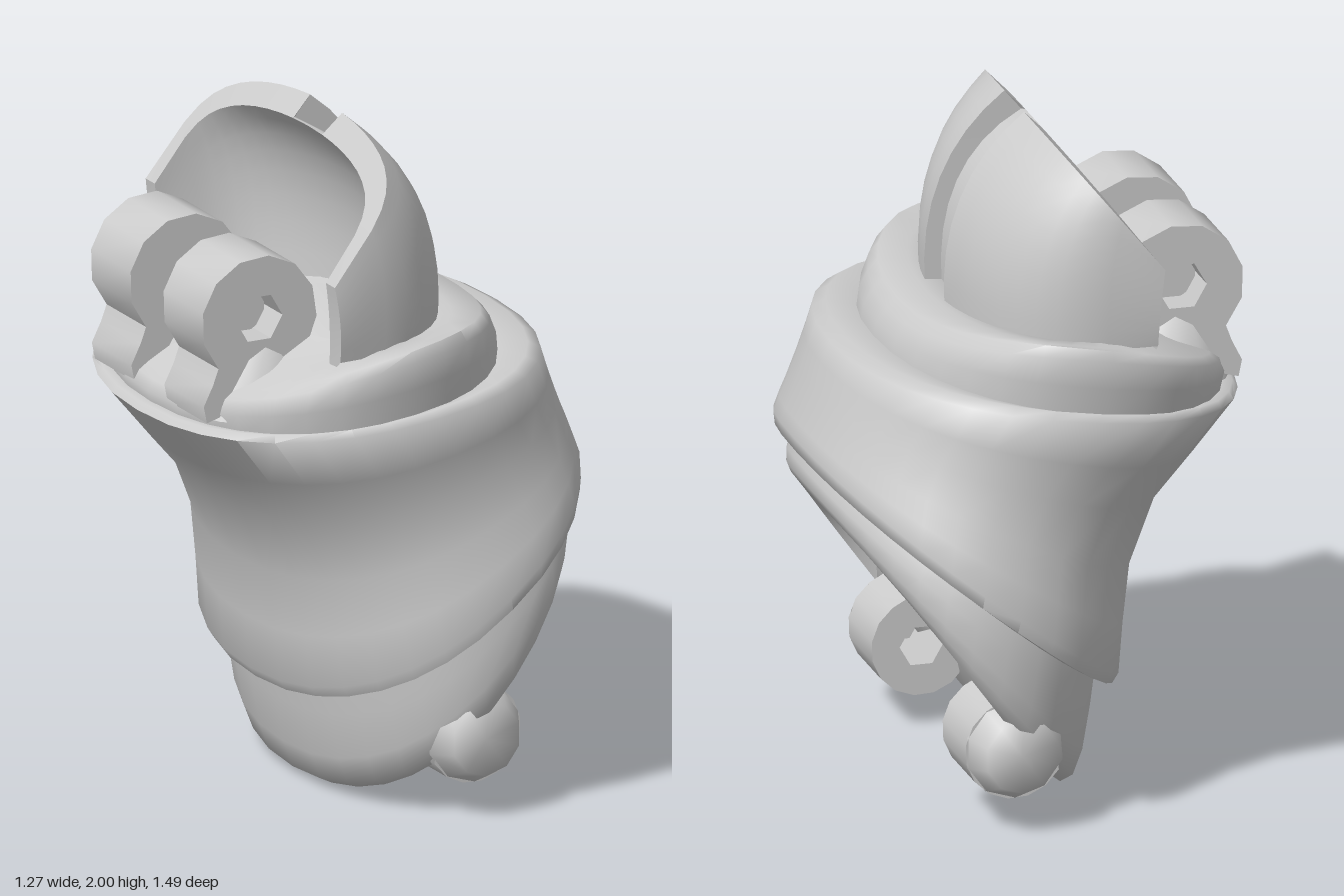
import * as THREE from 'three';
import { toCreasedNormals } from 'three/addons/utils/BufferGeometryUtils.js';

const material = new THREE.MeshStandardMaterial({ color: 0xcccccc, side: THREE.DoubleSide });

function mesh(name, geometry, crease = 1.25) {
  const m = new THREE.Mesh(toCreasedNormals(geometry, crease), material);
  m.name = name;
  return m;
}

// Surface through rows of points, skipping collapsed triangles
function skin(rows) {
  const pos = [];
  const tri = new THREE.Triangle();
  const add = (a, b, c) => {
    if (tri.set(a, b, c).getArea() > 1e-7) for (const p of [a, b, c]) pos.push(p.x, p.y, p.z);
  };
  for (let j = 0; j < rows.length - 1; j++) {
    for (let i = 0; i < rows[j].length - 1; i++) {
      const a = rows[j][i], b = rows[j][i + 1], c = rows[j + 1][i + 1], d = rows[j + 1][i];
      add(a, b, c);
      add(a, c, d);
    }
  }
  const g = new THREE.BufferGeometry();
  g.setAttribute('position', new THREE.Float32BufferAttribute(pos, 3));
  return g;
}

// Tilted oval ring: low-x end, high-x end, half depth, lift of the sides
function ring([xl, yl, xr, yr, depth, lift = 0]) {
  const n = 32, points = [];
  for (let i = 0; i <= n; i++) {
    const t = ((i % n) / n) * Math.PI * 2;
    const c = Math.sign(Math.cos(t)) * Math.abs(Math.cos(t)) ** 0.9;
    const s = Math.sign(Math.sin(t)) * Math.abs(Math.sin(t)) ** 0.9;
    points.push(new THREE.Vector3(
      (xl + xr) / 2 + c * (xr - xl) / 2,
      (yl + yr) / 2 + c * (yr - yl) / 2 + lift * s * s,
      depth * s));
  }
  return points;
}
const loft = (rings) => skin(rings.map(ring));

// Split shell over the socket, with a shallow groove down its middle
function shellGeometry() {
  const half = [];
  for (let i = 0; i <= 10; i++) half.push([-Math.PI / 2 + (i / 10) * (Math.PI / 2 - 0.17), 0]);
  const list = [...half, [-0.169, 0.05], [0, 0.05], [0.169, 0.05],
    ...half.map(([a]) => [-a, 0]).reverse()];
  const path = ([a, groove]) => {
    const cos = Math.max(0, Math.cos(a)), s = Math.sin(a);
    const c = cos ** 0.62, k = cos ** 0.42;
    const curve = (base, ctrl, rim) => new THREE.QuadraticBezierCurve3(
      new THREE.Vector3(...base), new THREE.Vector3(...ctrl), new THREE.Vector3(...rim)).getPoints(8);
    const y = 1.53 + 0.27 * k;
    const outer = curve([-0.28 + 0.5 * c - groove, 1.42, 0.57 * s],
      [-0.28 + 0.53 * c - groove, y, 0.59 * s],
      [-0.3 + 0.28 * k - groove, 1.65 + 0.35 * k - groove * 1.2, 0.575 * s]);
    const inner = curve([-0.28 + 0.38 * c, 1.36, 0.5 * s],
      [-0.28 + 0.42 * c, y - 0.02, 0.52 * s],
      [-0.3 + 0.22 * k, 1.65 + 0.29 * k, 0.52 * s]);
    return [...inner, ...outer.reverse()];
  };
  const columns = list.map(path);
  // Close both free edges
  const close = (col) => col.map((p, i) => p.clone().lerp(col[col.length - 1 - i], 0.5));
  columns.unshift(close(columns[0]));
  columns.push(close(columns[columns.length - 1]));
  return skin(columns[0].map((_, j) => columns.map((col) => col[j])));
}

// Hinge lug: arc plus foot points, extruded along z, with a pin hole
function lugGeometry(cx, cy, r, from, to, foot, holeR, z0, z1) {
  const pts = [], n = 9;
  for (let i = 0; i <= n; i++) {
    const a = THREE.MathUtils.degToRad(from + ((to - from) * i) / n);
    pts.push(new THREE.Vector2(cx + r * Math.cos(a), cy + r * Math.sin(a)));
  }
  for (const f of foot) pts.push(new THREE.Vector2(...f));
  const shape = new THREE.Shape(pts);
  const hole = [];
  for (let i = 0; i < 6; i++) {
    const a = -i * Math.PI / 3;
    hole.push(new THREE.Vector2(cx + holeR * Math.cos(a), cy + holeR * Math.sin(a)));
  }
  shape.holes.push(new THREE.Path(hole));
  return new THREE.ExtrudeGeometry(shape, { depth: z1 - z0, bevelEnabled: false }).translate(0, 0, z0);
}

export function createModel() {
  const model = new THREE.Group();
  model.name = 'jointSegment';

  // Collar with the upper socket, dropping toward the lugs
  model.add(mesh('collar', loft([
    [-0.13, 1.27, -0.13, 1.27, 0],
    [-0.19, 1.27, 0, 1.27, 0.4],
    [-0.25, 1.37, 0.08, 1.38, 0.48],
    [-0.29, 1.43, 0.12, 1.44, 0.53, 0.01],
    [-0.42, 1.34, 0.24, 1.45, 0.6, 0.05],
    [-0.55, 1.27, 0.33, 1.44, 0.685, 0.105],
    [-0.58, 1.25, 0.36, 1.41, 0.7, 0.1],
    [-0.6, 1.22, 0.39, 1.37, 0.685, 0.05],
    [-0.59, 1.18, 0.4, 1.32, 0.67],
  ])));

  // Main sleeve
  model.add(mesh('sleeve', loft([
    [-0.58, 1.19, 0.4, 1.33, 0.66],
    [-0.62, 1.19, 0.49, 1.345, 0.725, 0.02],
    [-0.635, 1.17, 0.53, 1.325, 0.745, 0.02],
    [-0.51, 1.02, 0.555, 1.26, 0.715],
    [-0.39, 0.88, 0.58, 1.19, 0.695],
    [-0.31, 0.68, 0.605, 1.12, 0.705],
    [-0.285, 0.5, 0.62, 1.08, 0.73],
    [-0.27, 0.34, 0.635, 1.04, 0.745],
    [-0.25, 0.31, 0.63, 1.0, 0.74],
    [-0.2, 0.33, 0.58, 0.96, 0.68],
  ])));

  // Lower cup with its rim and nearly flat recess
  model.add(mesh('lowerCup', loft([
    [-0.2, 0.35, 0.57, 0.97, 0.68],
    [-0.185, 0.24, 0.595, 0.93, 0.69],
    [-0.16, 0.1, 0.595, 0.89, 0.69],
    [-0.13, 0.02, 0.58, 0.86, 0.68],
    [-0.09, 0, 0.56, 0.84, 0.665],
    [-0.01, 0.06, 0.53, 0.81, 0.64],
    [0.03, 0.24, 0.49, 0.79, 0.62],
  ])));
  model.add(mesh('cupFloor', loft([
    [0.03, 0.24, 0.49, 0.79, 0.62],
    [0, 0.27, 0.46, 0.81, 0.61],
    [0.2, 0.57, 0.2, 0.57, 0],
  ])));

  model.add(mesh('splitShell', shellGeometry(), 0.7));

  // Paired hinge lugs, upper and lower
  const upperFoot = [[-0.57, 1.33], [-0.6, 1.27], [-0.59, 1.22], [-0.3, 1.3], [-0.26, 1.4]];
  const lowerFoot = [[0.14, 0.42], [0.04, 0.33]];
  for (const [side, s] of [['left', 1], ['right', -1]]) {
    const span = (a, b) => (s > 0 ? [a, b] : [-b, -a]);
    // Upper lug with a plugged pin hole and a flared pedestal into the collar
    const upper = new THREE.Group();
    upper.name = side + 'UpperLug';
    upper.add(mesh('lugBarrel',
      lugGeometry(-0.42, 1.51, 0.187, -35, 225, upperFoot, 0.075, ...span(0.1, 0.34)), 0.8));
    const plug = new THREE.CylinderGeometry(0.08, 0.08, 0.04, 6).rotateX(Math.PI / 2);
    upper.add(mesh('pinPlug', plug.translate(-0.42, 1.51, s * 0.22)));
    const pedestal = new THREE.CylinderGeometry(0.11, 0.19, 0.2, 14);
    upper.add(mesh('lugPedestal', pedestal.translate(-0.4, 1.32, s * 0.23)));
    model.add(upper);

    // Lower lug with a rounded closed outer end
    const lower = new THREE.Group();
    lower.name = side + 'LowerLug';
    lower.add(mesh('lugBarrel',
      lugGeometry(0.15, 0.245, 0.15, -150, 55, lowerFoot, 0.065, ...span(0.35, 0.58)), 0.9));
    const end = new THREE.CylinderGeometry(0.11, 0.15, 0.08, 10).rotateX(s * Math.PI / 2);
    lower.add(mesh('lugEnd', end.translate(0.15, 0.245, s * 0.615), 1.4));
    model.add(lower);
  }
  return model;
}
